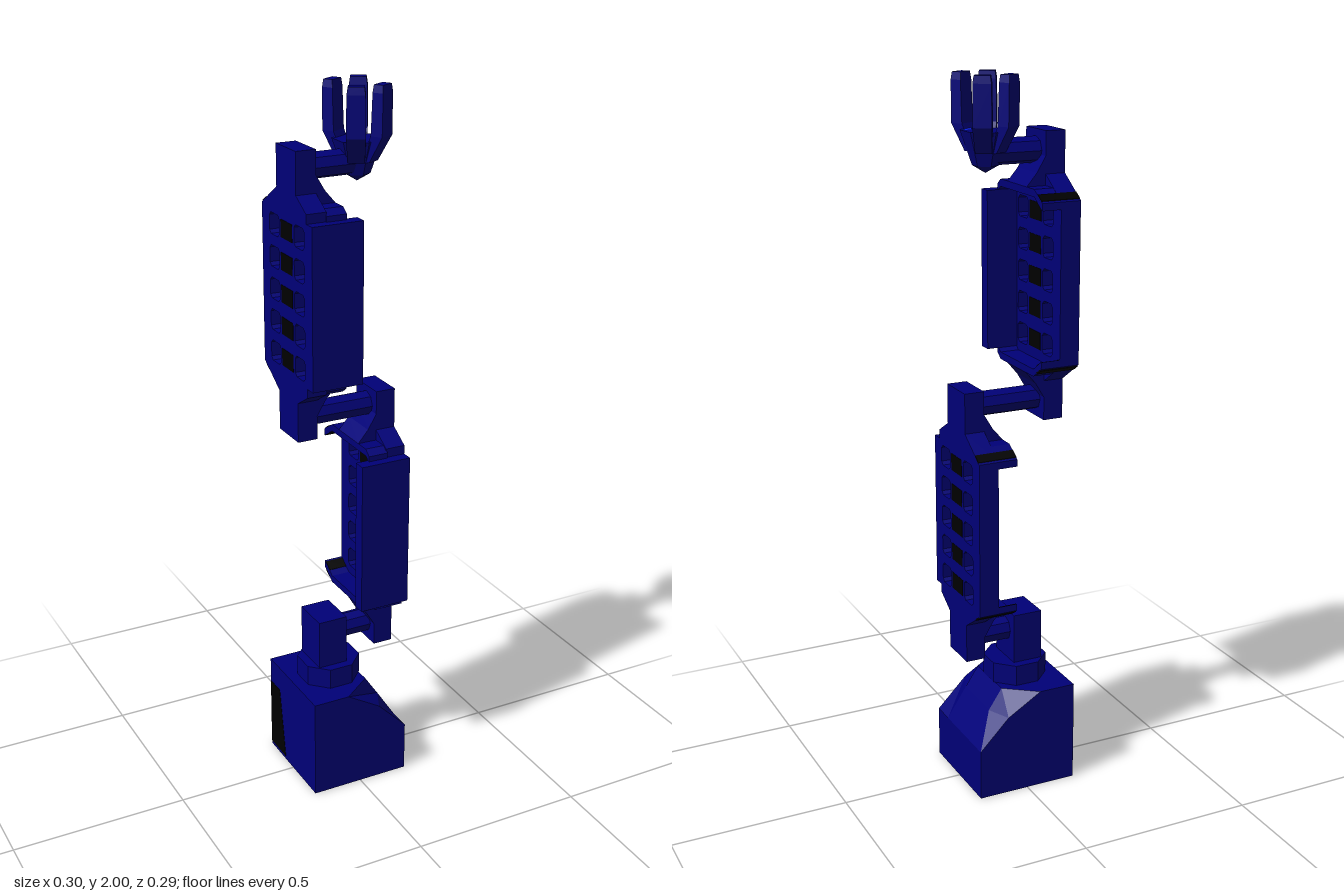
import * as THREE from 'three';

const mat = (name, color) => {
  const m = new THREE.MeshStandardMaterial({ color, flatShading: true });
  m.name = name;
  return m;
};

export function createModel() {
  const navy = mat('navy', 0x000078);
  const black = mat('black', 0x000000);
  const blue = mat('brightBlue', 0x0a1ee6);
  const root = new THREE.Group();

  const add = (parent, name, geo, m = navy) => {
    const mesh = new THREE.Mesh(geo, m);
    mesh.name = name;
    parent.add(mesh);
    return mesh;
  };
  // Box given by its limits on each axis
  const box = (parent, name, [x0, x1], [y0, y1], [z0, z1], m) =>
    add(parent, name, new THREE.BoxGeometry(x1 - x0, y1 - y0, z1 - z0)
      .translate((x0 + x1) / 2, (y0 + y1) / 2, (z0 + z1) / 2), m);
  // Extrude a (z, y) outline from x0 to x1; outline runs counterclockwise so hole walls face inward
  const slab = (pts, x0, x1, holes = []) => {
    const toV = (p) => p.map(([z, y]) => new THREE.Vector2(-z, y)).reverse();
    const shape = new THREE.Shape(toV(pts));
    holes.forEach((h) => shape.holes.push(new THREE.Path(toV(h).reverse())));
    return new THREE.ExtrudeGeometry(shape, { depth: x1 - x0, bevelEnabled: false })
      .rotateY(Math.PI / 2).translate(x0, 0, 0);
  };
  // Solid skin over equal-length convex cross-sections, counterclockwise seen from the last one
  const loft = (sections) => {
    const n = sections[0].length, pos = sections.flat(2), idx = [];
    for (let s = 0; s < sections.length - 1; s++) {
      for (let i = 0; i < n; i++) {
        const a = s * n + i, b = s * n + (i + 1) % n;
        idx.push(a, b, b + n, a, b + n, a + n);
      }
    }
    const last = (sections.length - 1) * n;
    for (let i = 1; i < n - 1; i++) idx.push(0, i + 1, i, last, last + i, last + i + 1);
    const g = new THREE.BufferGeometry();
    g.setAttribute('position', new THREE.Float32BufferAttribute(pos, 3));
    g.setIndex(idx);
    const flat = g.toNonIndexed();
    flat.computeVertexNormals();
    return flat;
  };

  // Base with a faceted slope towards +x
  const endCut = [[-0.147, 0], [0.147, 0], [0.147, 0.147], [0.06, 0.235], [-0.04, 0.295], [-0.147, 0.295]];
  const midCut = [[-0.147, 0], [0.147, 0], [0.147, 0.147], [0.09, 0.235], [0.05, 0.295], [-0.147, 0.295]];
  const cuts = [[endCut, -0.147], [midCut, -0.08], [midCut, 0.08], [endCut, 0.147]];
  add(root, 'base', loft(cuts.map(([c, z]) => c.map(([x, y]) => [x, y, z]))));
  // Dark strip on the base's side
  add(root, 'baseStrip', slab([[-0.146, 0.01], [-0.05, 0.01], [-0.085, 0.22], [-0.146, 0.22]], -0.148, -0.146), black);

  // Turntable collar and shoulder post
  add(root, 'collar', new THREE.CylinderGeometry(0.09, 0.09, 0.06, 8)
    .rotateY(Math.PI / 8).translate(-0.03, 0.325, 0));
  box(root, 'shoulderPost', [-0.087, 0], [0.35, 0.5], [-0.057, 0.057]);

  // Joint pins
  const pin = (name, x0, x1, y) => add(root, name,
    new THREE.CylinderGeometry(0.035, 0.035, x1 - x0, 8).rotateZ(Math.PI / 2).translate((x0 + x1) / 2, y, 0));
  pin('shoulderPin', -0.02, 0.1, 0.443);
  pin('elbowPin', -0.1, 0.1, 1.122);
  pin('wristPin', -0.1, 0.06, 1.798);

  // One arm segment: perforated plate, side flange, end lips and tongues
  const mid = 1.46;
  const buildSegment = (name) => {
    const g = new THREE.Group();
    g.name = name;
    const rows = [-2, -1, 0, 1, 2].map((i) => mid + i * 0.088);
    const r = 0.029, c = 0.02;
    const holes = rows.flatMap((y) => [-0.073, 0.073].map((z) => [
      [z - r, y - c], [z - c, y - r], [z + c, y - r], [z + r, y - c],
      [z + r, y + c], [z + c, y + r], [z - c, y + r], [z - r, y + c]]));
    const plate = [[-0.147, 1.24], [-0.057, 1.18], [0.057, 1.18], [0.115, 1.215],
      [0.115, 1.705], [0.057, 1.74], [-0.057, 1.74], [-0.147, 1.68]];
    add(g, 'perforatedPlate', slab(plate, -0.147, -0.09, holes));
    box(g, 'sideFlange', [-0.147, 0], [1.24, 1.68], [0.11, 0.147]);
    // Dark panels between the hole columns, on both faces
    for (const y of rows) {
      for (const x of [-0.148, -0.091]) {
        box(g, 'darkPanel', [x, x + 0.002], [y - 0.024, y + 0.024], [-0.034, 0.034], black);
      }
    }
    for (const s of [1, -1]) {
      const Y = (d) => mid + s * d;
      // Tongue that carries the joint pin
      box(g, 'tongue', [-0.147, -0.09], [Math.min(Y(0.27), Y(0.392)), Math.max(Y(0.27), Y(0.392))], [-0.057, 0.057]);
      // Slanted lips around the end of the channel
      const lip = [[-0.147, Y(0.22)], [-0.1, Y(0.25)], [0.1, Y(0.25)], [0.12, Y(0.235)],
        [0.12, Y(0.215)], [0.1, Y(0.23)], [-0.1, Y(0.23)], [-0.147, Y(0.2)]];
      add(g, 'endLip', slab(s > 0 ? lip.reverse() : lip, -0.092, -0.035));
      // Dark outer and inner faces of the lip
      const darkFace = (x, width, y, length) => {
        const face = add(g, 'lipFace', new THREE.BoxGeometry(width, 0.005, length), black);
        face.position.set(x, y, -0.13);
        face.rotation.x = -s * 0.57;
      };
      darkFace(-0.091, 0.112, Y(0.2305), 0.026);
      darkFace(-0.0625, 0.054, Y(0.2115), 0.03);
      // Wedge between tongue and lip
      const wedge = [[-0.092, Y(0.33)], [-0.065, Y(0.285)], [-0.035, Y(0.25)], [-0.092, Y(0.24)]];
      const shape = new THREE.Shape(wedge.map(([x, y]) => new THREE.Vector2(x, y)));
      add(g, 'endWedge', new THREE.ExtrudeGeometry(shape, { depth: 0.114, bevelEnabled: false })
        .translate(0, 0, -0.057));
    }
    root.add(g);
    return g;
  };
  buildSegment('upperArmSegment');
  const lower = buildSegment('lowerArmSegment');
  lower.scale.x = -1;
  lower.position.y = -0.68;

  // Hand: hexagonal palm with four fingers
  const hand = new THREE.Group();
  hand.name = 'hand';
  hand.position.x = 0.057;
  root.add(hand);
  const palm = [[0, 1.745], [0.035, 1.765], [0.066, 1.855], [0, 1.855]].map(([x, y]) => new THREE.Vector2(x, y));
  add(hand, 'palm', new THREE.LatheGeometry(palm, 6));
  const patch = new THREE.Shape([[0.012, -0.052], [0.056, -0.03], [0.056, 0], [0.036, 0], [0.026, -0.03]]
    .map(([x, y]) => new THREE.Vector2(x, y)));
  add(hand, 'palmPatch', new THREE.ShapeGeometry(patch).rotateX(-Math.PI / 2).translate(0, 1.857, 0), blue);
  const ring = (y, r0, r1, w) => [[r0, y, -w], [r0, y, w], [r1, y, w], [r1, y, -w]];
  const finger = loft([ring(1.8, 0.025, 0.05, 0.022), ring(1.87, 0.056, 0.09, 0.025),
    ring(1.98, 0.06, 0.091, 0.024), ring(2, 0.062, 0.089, 0.021)]);
  const a = Math.PI / 3;
  for (const turn of [a, 2 * a, -a, -2 * a]) add(hand, 'finger', finger).rotation.y = turn;
  return root;
}
